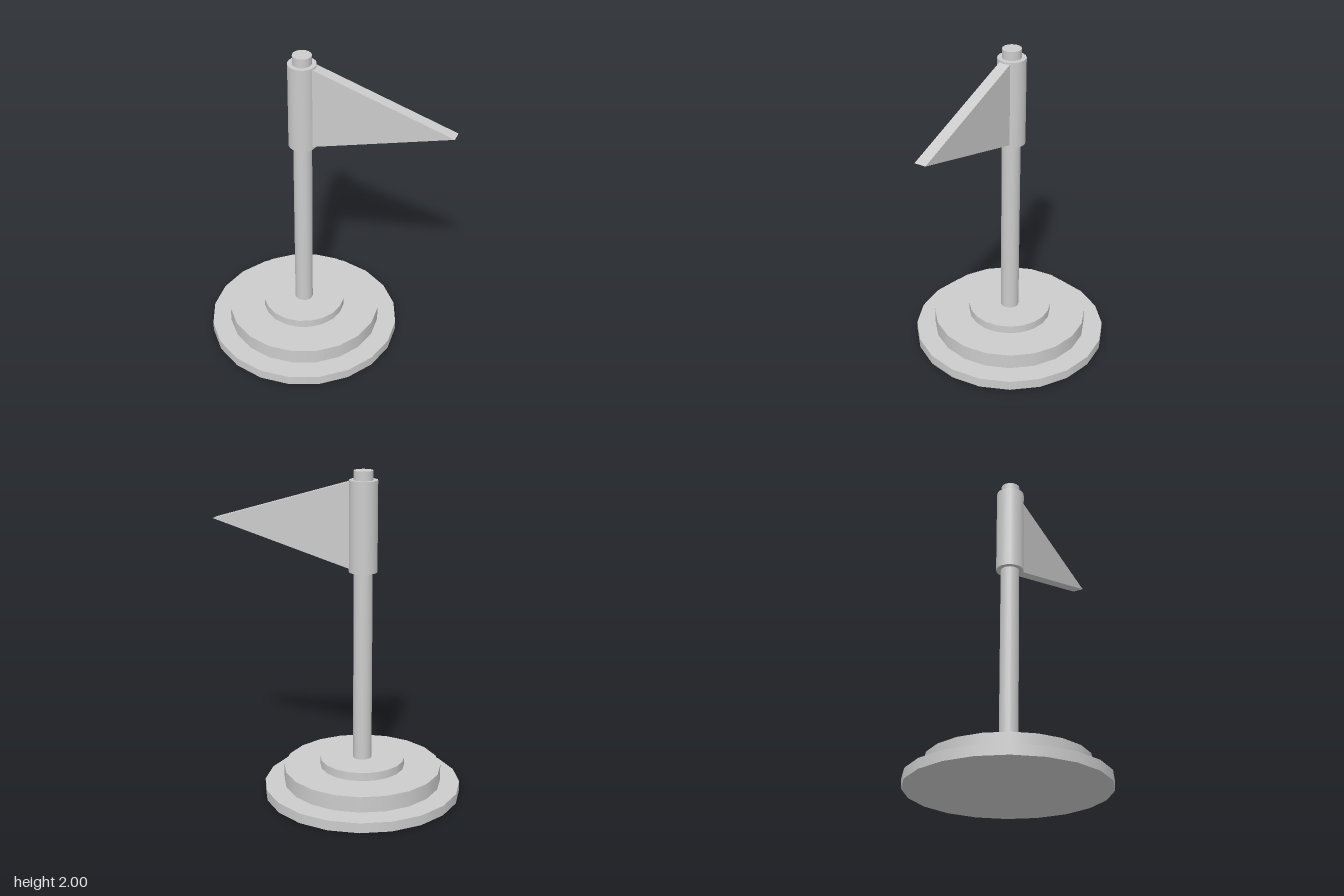
import * as THREE from 'three';

const material = new THREE.MeshStandardMaterial({ color: 0xcccccc });

function addDisc(parent, name, radius, bottom, top) {
  const mesh = new THREE.Mesh(new THREE.CylinderGeometry(radius, radius, top - bottom, 20), material);
  mesh.name = name;
  mesh.position.y = (bottom + top) / 2;
  parent.add(mesh);
}

export function createModel() {
  const model = new THREE.Group();
  model.name = 'flagOnStand';
  model.position.x = -0.135; // axis of the pole

  // Stepped round base, with a thin gap above the lowest disc
  addDisc(model, 'baseLower', 0.605, 0, 0.062);
  addDisc(model, 'baseMiddle', 0.485, 0.072, 0.17);
  addDisc(model, 'baseUpper', 0.26, 0.17, 0.222);

  // Pole and the sleeve that carries the flag
  addDisc(model, 'pole', 0.057, 0.222, 2);
  addDisc(model, 'flagSleeve', 0.085, 1.4, 1.945);

  // Triangular pennant, swung towards the back
  const thickness = 0.07;
  const shape = new THREE.Shape([
    new THREE.Vector2(0.077, 1.42),
    new THREE.Vector2(0.928, 1.678),
    new THREE.Vector2(0.077, 1.936),
  ]);
  const geometry = new THREE.ExtrudeGeometry(shape, { depth: thickness, bevelEnabled: false });
  geometry.translate(0, 0, -thickness / 2);
  const flag = new THREE.Mesh(geometry, material);
  flag.name = 'pennant';
  flag.rotation.y = Math.PI / 8;
  model.add(flag);

  const root = new THREE.Group();
  root.add(model);
  return root;
}
